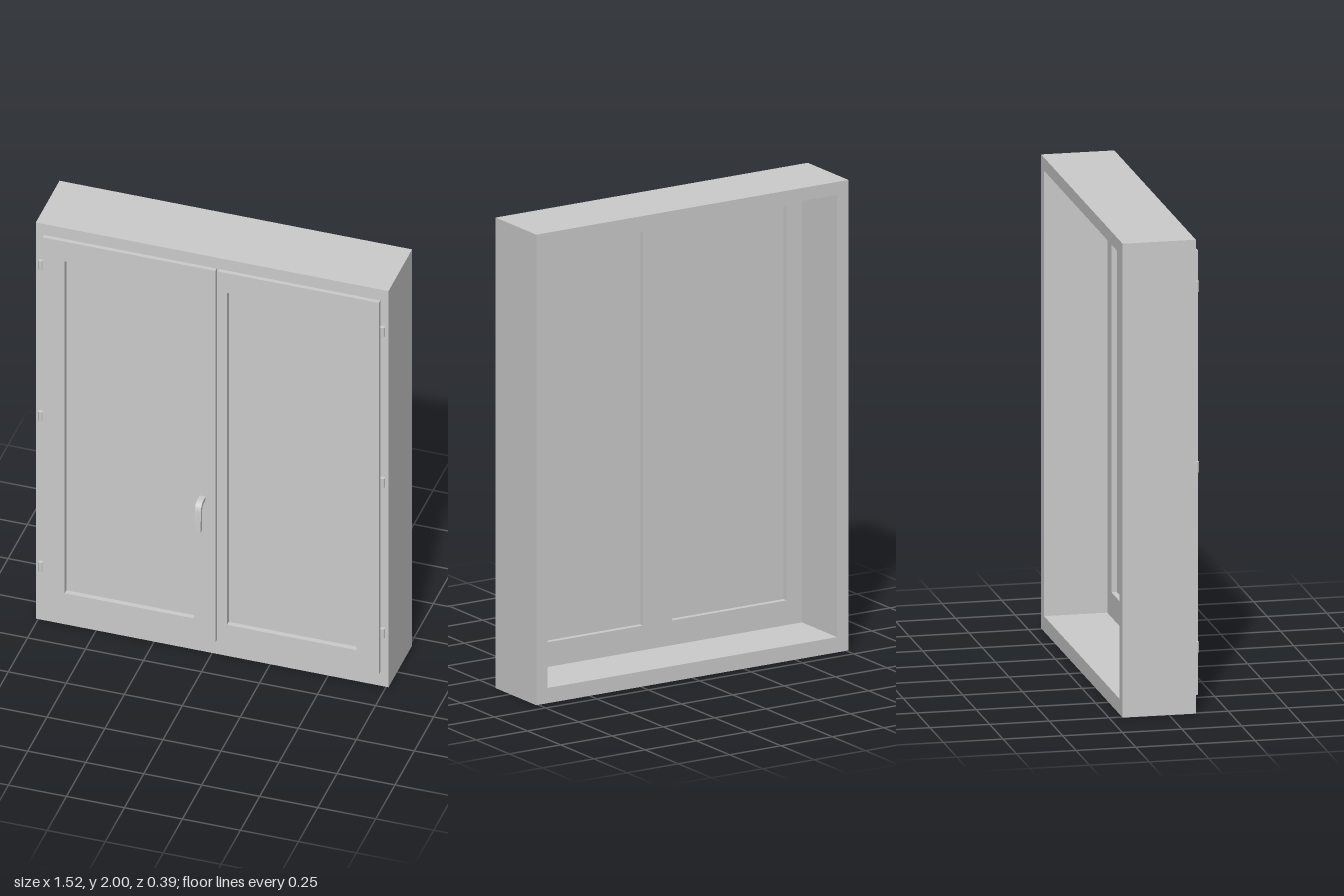
import * as THREE from 'three';
import { toCreasedNormals } from 'three/addons/utils/BufferGeometryUtils.js';

const grey = new THREE.MeshStandardMaterial({ color: 0xcccccc });

function add(parent, name, geometry) {
  const mesh = new THREE.Mesh(geometry, grey);
  mesh.name = name;
  parent.add(mesh);
  return mesh;
}

// Rectangle as corner points: r = [x0, x1, y0, y1]
const corners = ([x0, x1, y0, y1]) =>
  [[x0, y0], [x1, y0], [x1, y1], [x0, y1]].map(p => new THREE.Vector2(...p));

// Rectangular ring running from z0 to z1
function ring(outer, inner, z0, z1) {
  const shape = new THREE.Shape(corners(outer));
  shape.holes.push(new THREE.Path(corners(inner)));
  return new THREE.ExtrudeGeometry(shape, { depth: z1 - z0, bevelEnabled: false }).translate(0, 0, z0);
}

// Sash: rear body inside the casing, wider front lip over it, and a pane
function makeSash(name, lip, body, hole) {
  const sash = new THREE.Group();
  sash.name = name;
  add(sash, 'sashBody', ring(body, hole, 0.07, 0.112));
  add(sash, 'sashLip', ring(lip, hole, 0.112, 0.13));
  const [x0, x1, y0, y1] = hole;
  add(sash, 'pane', new THREE.BoxGeometry(x1 - x0, y1 - y0, 0.014))
    .position.set((x0 + x1) / 2, (y0 + y1) / 2, 0.1);
  return sash;
}

// Bent lever handle, drawn from the side as (z, y) and extruded across x
function handleGeometry() {
  const s = new THREE.Shape();
  s.moveTo(0.128, 0.797);
  s.lineTo(0.155, 0.797);
  s.bezierCurveTo(0.178, 0.797, 0.19, 0.785, 0.193, 0.755);
  s.lineTo(0.195, 0.66);
  s.lineTo(0.178, 0.66);
  s.lineTo(0.178, 0.745);
  s.bezierCurveTo(0.176, 0.77, 0.168, 0.78, 0.152, 0.78);
  s.lineTo(0.128, 0.78);
  const g = new THREE.ExtrudeGeometry(s, { depth: 0.026, bevelEnabled: false, curveSegments: 10 });
  return toCreasedNormals(g.rotateY(-Math.PI / 2), 0.6);
}

export function createModel() {
  const model = new THREE.Group();
  model.name = 'window';

  // Deep outer casing
  add(model, 'casing', ring([-0.76, 0.76, 0, 2], [-0.705, 0.705, 0.065, 1.945], -0.195, 0.112));

  // Two sashes meeting just off centre
  model.add(
    makeSash('rightSash', [-0.725, 0.02, 0.07, 1.945], [-0.705, 0.024, 0.065, 1.945], [-0.63, -0.072, 0.17, 1.846]),
    makeSash('leftSash', [0.03, 0.725, 0.07, 1.945], [0.024, 0.705, 0.065, 1.945], [0.07, 0.628, 0.17, 1.846]));

  // Three hinge barrels on each side
  for (const side of [-1, 1]) {
    for (const y of [0.275, 1.035, 1.797]) {
      add(model, 'hinge', new THREE.CylinderGeometry(0.01, 0.01, 0.046, 16))
        .position.set(side * 0.737, y, 0.12);
    }
  }

  add(model, 'handle', handleGeometry()).position.x = -0.022;
  return model;
}
